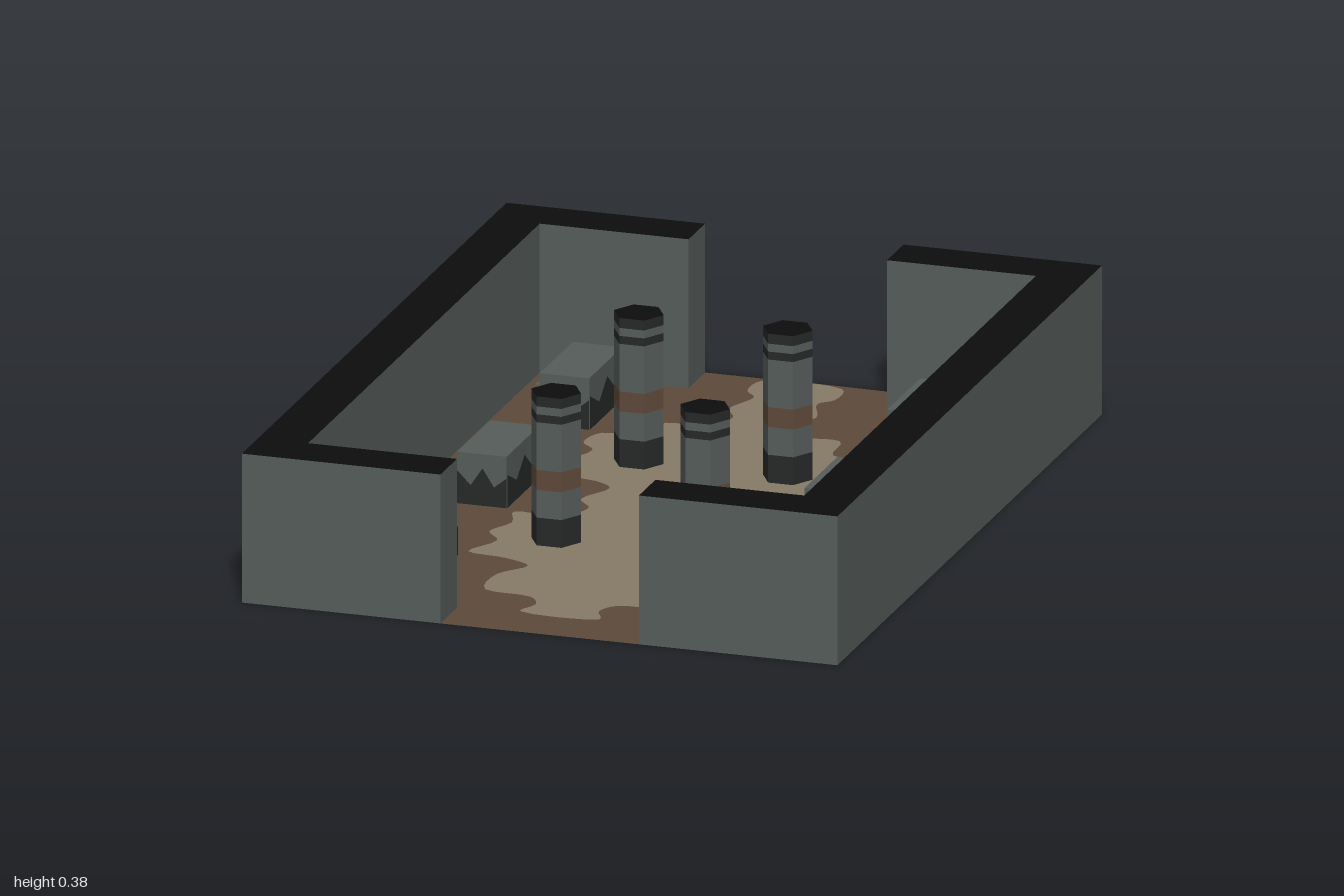
import * as THREE from 'three';

const mat = (name, color) => {
  const m = new THREE.MeshStandardMaterial({ color, side: THREE.DoubleSide });
  m.name = name;
  return m;
};

// Flat shape from [x, z] points, laid horizontally
const shapeOf = pts => new THREE.Shape(pts.map(([x, z]) => new THREE.Vector2(x, -z)));
const flat = (shape, y) => new THREE.ShapeGeometry(shape).rotateX(-Math.PI / 2).translate(0, y, 0);

// Upright faces around a closed [x, z] outline, open above and below
function sides(pts, h) {
  const v = [];
  pts.forEach(([ax, az], i) => {
    const [bx, bz] = pts[(i + 1) % pts.length];
    v.push(ax, 0, az, ax, h, az, bx, h, bz, ax, 0, az, bx, h, bz, bx, 0, bz);
  });
  const g = new THREE.BufferGeometry();
  g.setAttribute('position', new THREE.Float32BufferAttribute(v, 3));
  g.computeVertexNormals();
  return g;
}

const rect = (x, z, w, d) => [
  [x - w / 2, z - d / 2], [x + w / 2, z - d / 2], [x + w / 2, z + d / 2], [x - w / 2, z + d / 2],
];

export function createModel() {
  const root = new THREE.Group();
  root.name = 'pillaredHall';
  const stone = mat('grey stone', 0x565d5b);
  const black = mat('black', 0x0d0d0d);
  const dark = mat('dark stone', 0x262928);
  const earth = mat('brown earth', 0x5d4a3b);
  const sand = mat('tan sand', 0x877b66);
  const rust = mat('rust', 0x60493a);

  const add = (name, geo, m, parent = root) => {
    const mesh = new THREE.Mesh(geo, m);
    mesh.name = name;
    parent.add(mesh);
    return mesh;
  };

  const H = 0.375;

  // Two C-shaped walls with black tops, leaving a doorway at each end
  for (const s of [1, -1]) {
    const c = [[0.25, -1], [0.75, -1], [0.75, 1], [0.25, 1], [0.25, 0.875],
      [0.625, 0.875], [0.625, -0.875], [0.25, -0.875]].map(([x, z]) => [x * s, z]);
    if (s < 0) c.reverse();
    add('wall', sides(c, H), stone);
    add('wallTop', flat(shapeOf(c), H), black);
  }

  // Wavy sand path down the middle
  const edge = [[0.1, -0.985], [0.11, -0.9], [0.08, -0.86], [0.11, -0.76], [0.08, -0.7], [0.11, -0.61],
    [0.22, -0.61], [0.24, -0.5], [0.34, -0.49], [0.36, -0.41], [0.32, -0.36], [0.36, -0.25],
    [0.34, -0.16], [0.24, -0.14], [0.19, -0.1], [0.23, 0], [0.19, 0.06], [0.24, 0.14], [0.35, 0.14],
    [0.33, 0.22], [0.36, 0.3], [0.32, 0.36], [0.36, 0.46], [0.26, 0.48], [0.19, 0.52], [0.24, 0.6],
    [0.23, 0.72], [0.11, 0.74], [0.08, 0.79], [0.1, 0.85]];
  const loop = [...edge, ...edge.map(([x, z]) => [-x, z]).reverse()];
  const curve = new THREE.CatmullRomCurve3(loop.map(([x, z]) => new THREE.Vector3(x, 0, z)), true);
  const path = curve.getPoints(240).slice(0, -1).map(p => [p.x, p.z]);
  add('sandPath', flat(shapeOf(path), 0), sand);

  // Earth floor with cut-outs for the path and the hollow chests
  const floor = shapeOf([[-0.25, -1], [0.25, -1], [0.25, -0.875], [0.625, -0.875], [0.625, 0.875],
    [0.25, 0.875], [0.25, 1], [-0.25, 1], [-0.25, 0.875], [-0.625, 0.875], [-0.625, -0.875], [-0.25, -0.875]]);
  floor.holes.push(shapeOf(path));

  // Stone chests along both sides
  const chestH = 0.13;
  for (const x of [-0.4375, 0.4375]) {
    for (const z of [-0.625, 0, 0.625]) {
      const chest = new THREE.Group();
      chest.name = 'chest';
      chest.position.set(x, 0, z);
      root.add(chest);
      const r = rect(0, 0, 0.125, 0.25);
      floor.holes.push(shapeOf(rect(x, z, 0.125, 0.25)));
      add('chestSides', sides(r, chestH), stone, chest);
      add('chestTop', flat(shapeOf(r), chestH), stone, chest);
      // Jagged dark stain at the foot of each side
      for (let i = 0; i < 4; i++) {
        const w = i % 2 ? 0.25 : 0.125, out = i % 2 ? 0.0625 : 0.125;
        const stain = new THREE.Shape([[-0.5, 0.001], [0.5, 0.001], [0.5, 0.075], [0.25, 0.05], [0.02, 0.095],
          [-0.22, 0.05], [-0.5, 0.085]].map(([u, v]) => new THREE.Vector2(u * w, v)));
        const g = new THREE.ShapeGeometry(stain).translate(0, 0, out + 0.002).rotateY(i * Math.PI / 2);
        add('chestStain', g, dark, chest);
      }
      if (x > 0 && z > 0.5) {
        add('chestOpening', flat(shapeOf(rect(-0.002, -0.005, 0.09, 0.21)), chestH + 0.003), black, chest);
      }
    }
  }
  add('floor', flat(floor, 0), earth);

  // Hexagonal pillars in banded stone
  const bands = [[0, 0.07, dark], [0.07, 0.14, stone], [0.14, 0.19, rust], [0.19, 0.31, stone],
    [0.31, 0.33, dark], [0.33, 0.35, stone], [0.35, H, dark]];
  for (const x of [-0.1875, 0.1875]) {
    for (const z of [-0.3125, 0.3125]) {
      const pillar = new THREE.Group();
      pillar.name = 'pillar';
      pillar.position.set(x, 0, z);
      root.add(pillar);
      const hex = Array.from({ length: 6 }, (_, i) =>
        [0.0625 * Math.cos(i * Math.PI / 3), 0.0625 * Math.sin(i * Math.PI / 3)]);
      for (const [a, b, m] of bands) add('pillarBand', sides(hex, b - a).translate(0, a, 0), m, pillar);
      add('pillarTop', flat(shapeOf(hex), H), black, pillar);
    }
  }

  // Small scattered pebbles
  for (const [x, z, r, m] of [[-0.585, -0.84, 0.022, sand], [-0.585, -0.79, 0.022, stone],
    [0.575, -0.335, 0.02, stone], [-0.56, 0.16, 0.016, sand]]) {
    add('pebble', new THREE.CircleGeometry(r, 7).rotateX(-Math.PI / 2).translate(x, 0.003, z), m);
  }

  return root;
}
